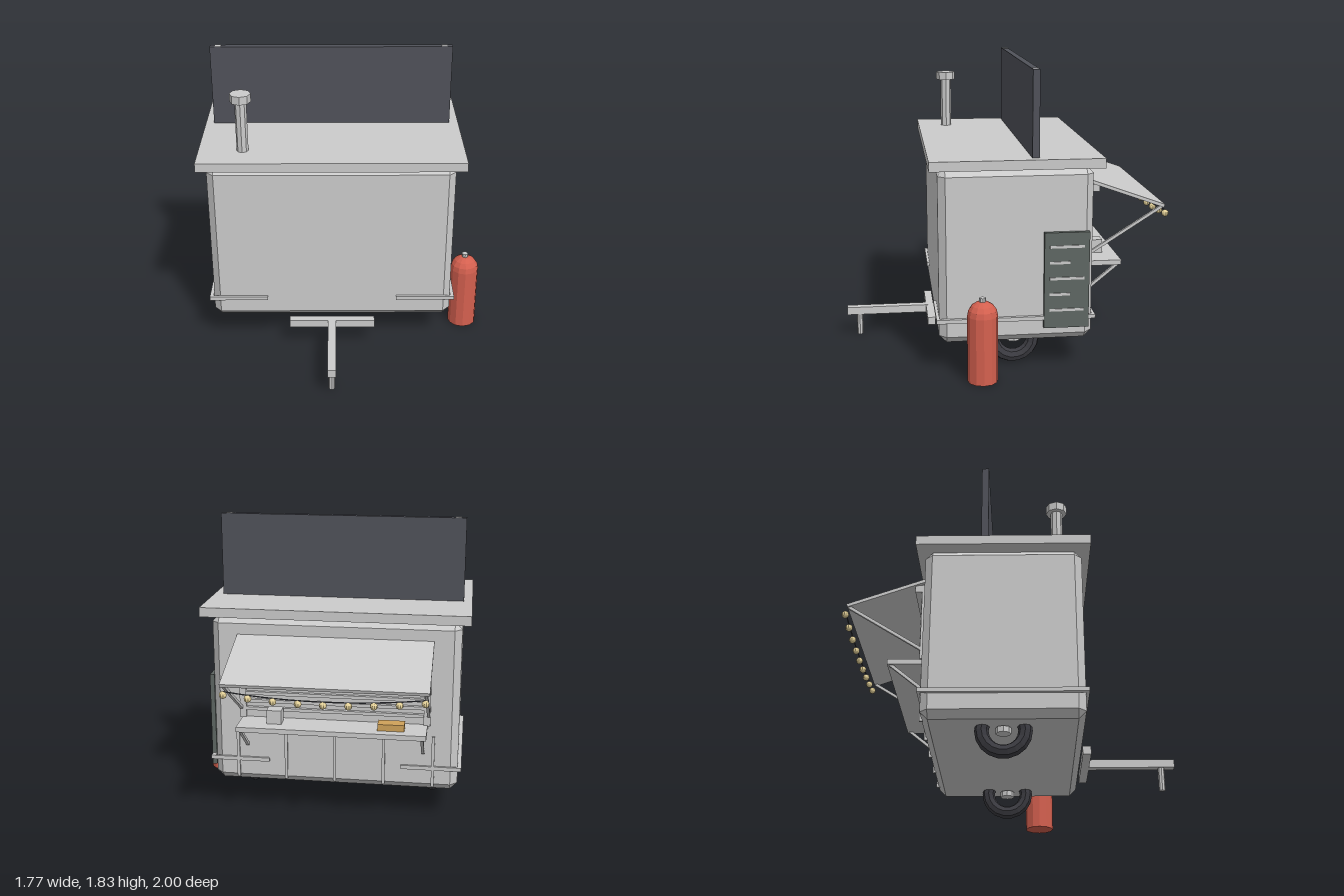
import * as THREE from 'three';
import { ConvexGeometry } from 'three/addons/geometries/ConvexGeometry.js';

const CX = -0.0775; // centre line of the cabin
const V = (x, y, z) => new THREE.Vector3(x, y, z);
const mat = (color) => new THREE.MeshStandardMaterial({ color, flatShading: true });

export function createModel() {
  const model = new THREE.Group();
  const grey = mat(0xcccccc), dark = mat(0x50525a), rubber = mat(0x3c3c42), board = mat(0x5f6763);
  const red = mat(0xd4604f), tan = mat(0xcfa25a), glow = mat(0xe6d39a);

  const add = (name, geometry, material = grey, x = 0, y = 0, z = 0) => {
    const mesh = new THREE.Mesh(geometry, material);
    mesh.name = name;
    mesh.position.set(x, y, z);
    model.add(mesh);
    return mesh;
  };
  // Box given by its extents on each axis
  const box = (name, [x0, x1], [y0, y1], [z0, z1], material) =>
    add(name, new THREE.BoxGeometry(x1 - x0, y1 - y0, z1 - z0), material,
      (x0 + x1) / 2, (y0 + y1) / 2, (z0 + z1) / 2);
  // Rectangular bar between two points
  const bar = (name, a, b, width, thick, material) => {
    const mesh = add(name, new THREE.BoxGeometry(width, thick, a.distanceTo(b)), material);
    mesh.position.copy(a).add(b).multiplyScalar(0.5);
    mesh.lookAt(b);
    return mesh;
  };
  const cyl = (name, r, y0, y1, x, z, sides, material) =>
    add(name, new THREE.CylinderGeometry(r, r, y1 - y0, sides), material, x, (y0 + y1) / 2, z);

  // Cabin: box with every edge chamfered
  const h = [0.7575, 0.5325, 0.4625], c = 0.044, corners = [];
  for (const sx of [-1, 1]) for (const sy of [-1, 1]) for (const sz of [-1, 1])
    for (let k = 0; k < 3; k++) {
      const p = h.map((v, i) => (i === k ? v : v - c));
      corners.push(V(sx * p[0], sy * p[1], sz * p[2]));
    }
  add('cabin', new ConvexGeometry(corners), grey, CX, 0.7225, -0.03);

  // Roof, chimney and roof sign
  box('roof', [-0.887, 0.737], [1.257, 1.315], [-0.545, 0.485]);
  cyl('chimneyPipe', 0.036, 1.31, 1.64, -0.617, 0.295, 8);
  cyl('chimneyCap', 0.064, 1.634, 1.685, -0.617, 0.295, 8);
  box('roofSign', [-0.835, 0.68], [1.315, 1.828], [-0.162, -0.12], dark);
  for (const s of [-1, 1]) {
    const x = CX + s * 0.707;
    box('signPost', [x - 0.018, x + 0.018], [1.31, 1.83], [-0.159, -0.123]);
  }

  // Wheels with hubs
  for (const s of [-1, 1]) {
    const x = CX + s * 0.595;
    add('tyre', new THREE.TorusGeometry(0.124, 0.041, 8, 18), rubber, x, 0.165, -0.03).rotation.y = Math.PI / 2;
    cyl('hub', 0.045, 0.148, 0.182, x + 0.004, -0.03, 8);
  }

  // Tow bar with support leg
  box('towCrossbar', [CX - 0.272, CX + 0.272], [0.14, 0.19], [0.43, 0.48]);
  box('drawbar', [CX - 0.026, CX + 0.026], [0.141, 0.191], [0.43, 1]);
  cyl('supportLeg', 0.02, 0, 0.145, CX, 0.92, 8);

  // Bumper rails wrapping both ends
  const rail = [0.328, 0.352];
  for (const s of [-1, 1]) {
    const span = (a, b) => [CX + s * a, CX + s * b].sort((p, q) => p - q);
    box('sideRail', span(0.757, 0.78), rail, [-0.507, 0.45]);
    box('frontRail', span(0.41, 0.78), rail, [0.43, 0.45]);
    box('backRail', span(0.41, 0.78), rail, [-0.507, -0.49]);
  }

  // Gas bottle
  const profile = [[0, 0], [0.091, 0], [0.091, 0.408]];
  for (let i = 1; i <= 4; i++) {
    const a = (i / 4) * Math.PI / 2;
    profile.push([i === 4 ? 0 : 0.091 * Math.cos(a), 0.408 + 0.088 * Math.sin(a)]);
  }
  add('gasBottle', new THREE.LatheGeometry(profile.map(([x, y]) => new THREE.Vector2(x, y)), 12), red, 0.793, 0, 0.186);
  cyl('bottleValve', 0.02, 0.485, 0.516, 0.793, 0.186, 8);

  // Menu board on the side
  box('menuBoard', [0.678, 0.706], [0.278, 0.87], [-0.465, -0.193], board);
  for (let i = 0; i < 5; i++) {
    const y = 0.783 - i * 0.098;
    box('menuLine', [0.7, 0.711], [y - 0.008, y + 0.008], [i % 2 ? -0.348 : -0.433, -0.225]);
  }

  // Serving hatch: frame, roller housing and slatted shutter
  box('rollerHousing', [CX - 0.58, CX + 0.58], [1.065, 1.11], [-0.562, -0.485]);
  box('shutterPanel', [CX - 0.55, CX + 0.55], [0.62, 1.08], [-0.506, -0.485]);
  for (const s of [-1, 1]) {
    const x = CX + s * 0.565;
    box('hatchFrame', [x - 0.02, x + 0.02], [0.62, 1.11], [-0.52, -0.485]);
  }
  for (let i = 0; i < 8; i++) {
    const y = 1.03 - i * 0.0495;
    box('shutterSlat', [CX - 0.545, CX + 0.545], [y - 0.01, y + 0.01], [-0.528, -0.5]);
  }

  // Awning with struts
  bar('awning', V(CX, 1.136, -0.495), V(CX, 0.968, -0.965), 1.192, 0.02);
  for (const s of [-1, 1]) {
    const x = CX + s * 0.575;
    bar('awningStrut', V(x, 0.685, -0.515), V(x, 0.965, -0.955), 0.018, 0.018);
  }

  // Counter shelf, brackets and goods
  box('counterShelf', [CX - 0.57, CX + 0.57], [0.594, 0.625], [-0.71, -0.485]);
  for (const s of [-1, 1]) {
    const x = CX + s * 0.545;
    bar('shelfBracket', V(x, 0.44, -0.5), V(x, 0.6, -0.695), 0.018, 0.018);
  }
  box('counterBox', [0.23, 0.32], [0.625, 0.71], [-0.625, -0.545]);
  box('counterTray', [-0.515, -0.355], [0.625, 0.665], [-0.652, -0.57], tan);

  // Ribs on the back wall
  for (let i = -2; i <= 2; i++) {
    const x = CX + i * 0.303;
    box('backRib', [x - 0.009, x + 0.009], [0.22, 0.545], [-0.505, -0.485]);
  }

  // Sagging string of bulbs along the awning edge
  const sag = (t) => 0.918 - 0.036 * (1 - t * t);
  const wire = [];
  for (let i = 0; i < 9; i++) {
    const t = i / 4 - 1, x = CX + t * 0.573;
    wire.push(V(x, sag(t) + 0.02, -0.975));
    add('bulb', new THREE.SphereGeometry(0.022, 10, 8), glow, x, sag(t), -0.975);
  }
  add('bulbWire', new THREE.TubeGeometry(new THREE.CatmullRomCurve3(wire), 24, 0.004, 5), dark);

  return model;
}
